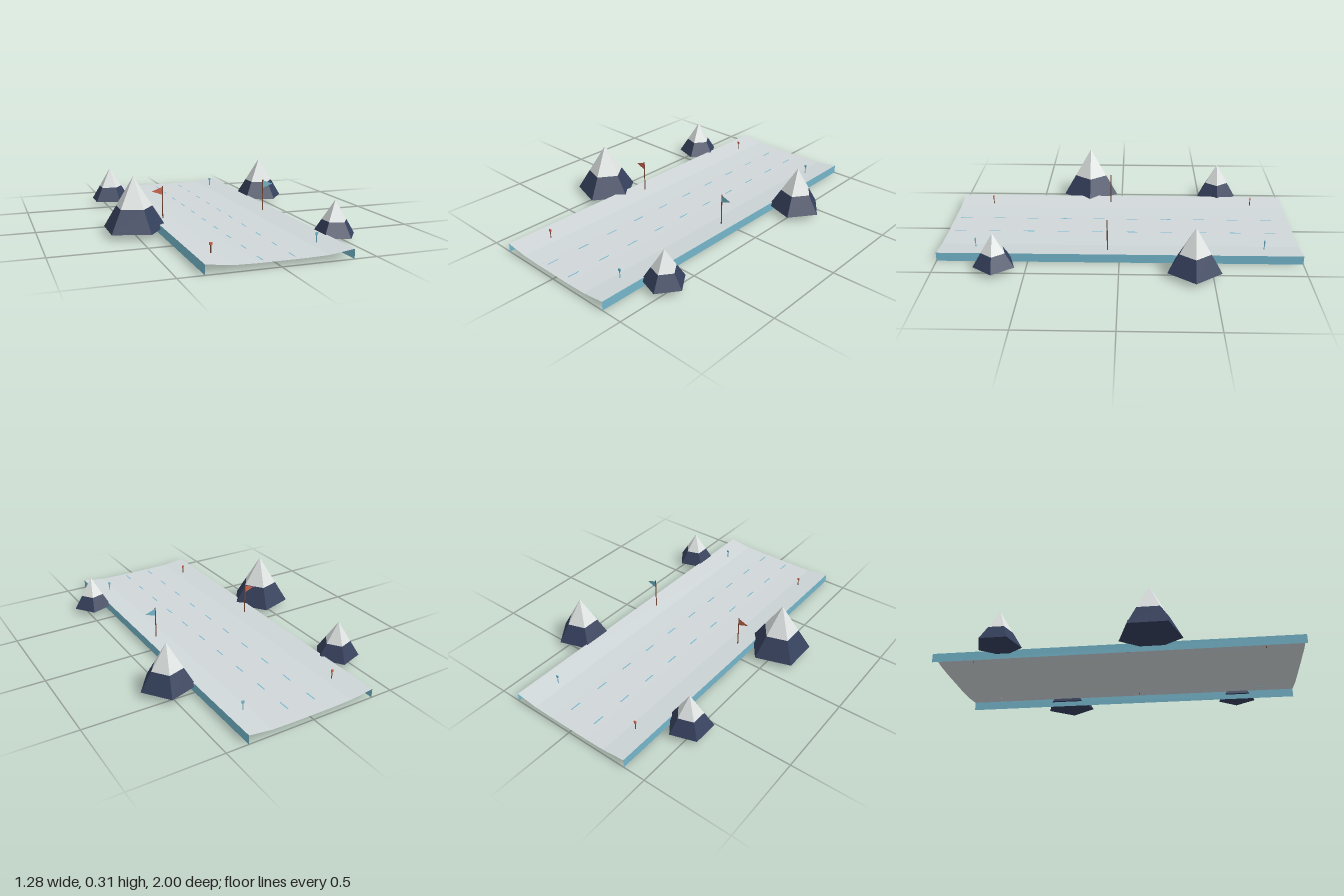
import * as THREE from 'three';

const mat = (name, color, opts = {}) => {
  const m = new THREE.MeshStandardMaterial({ color, ...opts });
  m.name = name;
  return m;
};

export function createModel() {
  const model = new THREE.Group();
  model.name = 'snowSlope';

  const flat = { flatShading: true };
  const open = { flatShading: true, side: THREE.DoubleSide };
  const piste = mat('pisteSnow', 0xd0d7d9, open);
  const snow = mat('peakSnow', 0xdfe4e3, flat);
  const rock = mat('darkRock', 0x35405c, flat);
  const blue = mat('iceBlue', 0x74b6cb, open);
  const red = mat('gateRed', 0xd0654f, open);
  const wood = mat('poleBrown', 0x7a4a38, flat);

  const add = (parent, name, geometry, material, x = 0, y = 0, z = 0) => {
    const mesh = new THREE.Mesh(geometry, material);
    mesh.name = name;
    mesh.position.set(x, y, z);
    parent.add(mesh);
    return mesh;
  };

  const MID = 0.003, HALF = 0.374, GROUND = 0.03, RIM = 0.05;

  // Piste: thin sheet, flat in the middle with raised edges
  const profile = [[-HALF, RIM], [-0.241, 0.033], [-0.12, GROUND], [0, GROUND],
    [0.12, GROUND], [0.241, 0.033], [HALF, RIM]];
  const sheet = new THREE.PlaneGeometry(2 * HALF, 2, profile.length - 1, 1).rotateX(-Math.PI / 2);
  const pos = sheet.attributes.position;
  for (let i = 0; i < pos.count; i++) {
    const [x, y] = profile[i % profile.length];
    pos.setXYZ(i, x, y, pos.getZ(i));
  }
  sheet.computeVertexNormals();
  add(model, 'piste', sheet, piste, MID);

  // Side walls hanging from the raised edges
  for (const s of [-1, 1]) {
    const wall = new THREE.PlaneGeometry(2, RIM).rotateY(s * Math.PI / 2);
    add(model, s > 0 ? 'leftWall' : 'rightWall', wall, blue, MID + s * HALF, RIM / 2, 0);
  }

  // Two rows of dashes along the piste
  const dash = new THREE.PlaneGeometry(0.007, 0.066).rotateX(-Math.PI / 2);
  for (const x of [-0.082, 0.082])
    for (let i = 0; i < 10; i++) add(model, 'laneDash', dash, blue, x, GROUND + 0.002, -0.868 + 0.2 * i);

  // Five-sided peaks: rock below, snow cap above
  const peak = (x, z, radius, top) => {
    const group = new THREE.Group();
    group.name = 'mountain';
    group.position.set(x, GROUND, z);
    const h = top - GROUND, split = 0.42;
    const rTop = radius * (1 - split);
    add(group, 'rockBase', new THREE.CylinderGeometry(rTop, radius, h * split, 5, 1, false, Math.PI / 2),
      rock, 0, h * split / 2);
    add(group, 'snowCap', new THREE.ConeGeometry(rTop, h * (1 - split), 5, 1, true, Math.PI / 2),
      snow, 0, h * (1 + split) / 2);
    model.add(group);
  };
  peak(-0.5, 0.2, 0.177, 0.315);
  peak(0.483, -0.4, 0.152, 0.275);
  peak(-0.468, -0.605, 0.125, 0.23);
  peak(0.455, 0.665, 0.117, 0.215);

  // Flags and marker posts, red on the right and blue on the left
  for (const s of [-1, 1]) {
    const color = s > 0 ? blue : red;
    const flag = new THREE.Group();
    flag.name = 'flag';
    flag.position.set(MID + s * 0.306, GROUND, 0.066);
    add(flag, 'flagPole', new THREE.CylinderGeometry(0.003, 0.003, 0.195, 6), wood, 0, 0.0975);
    const pennant = new THREE.Shape([[0, 0.145], [s * 0.063, 0.168], [0, 0.19]]
      .map(([x, y]) => new THREE.Vector2(x, y)));
    add(flag, 'pennant', new THREE.ShapeGeometry(pennant), color);
    model.add(flag);

    for (const z of [-0.8, 0.8]) {
      const post = new THREE.Group();
      post.name = 'markerPost';
      post.position.set(MID + s * 0.277, GROUND, z);
      add(post, 'postStem', new THREE.CylinderGeometry(0.0025, 0.0025, 0.047, 6), s > 0 ? blue : wood, 0, 0.0235);
      add(post, 'postHead', new THREE.BoxGeometry(0.013, 0.014, 0.006), color, 0, 0.053);
      model.add(post);
    }
  }
  return model;
}
